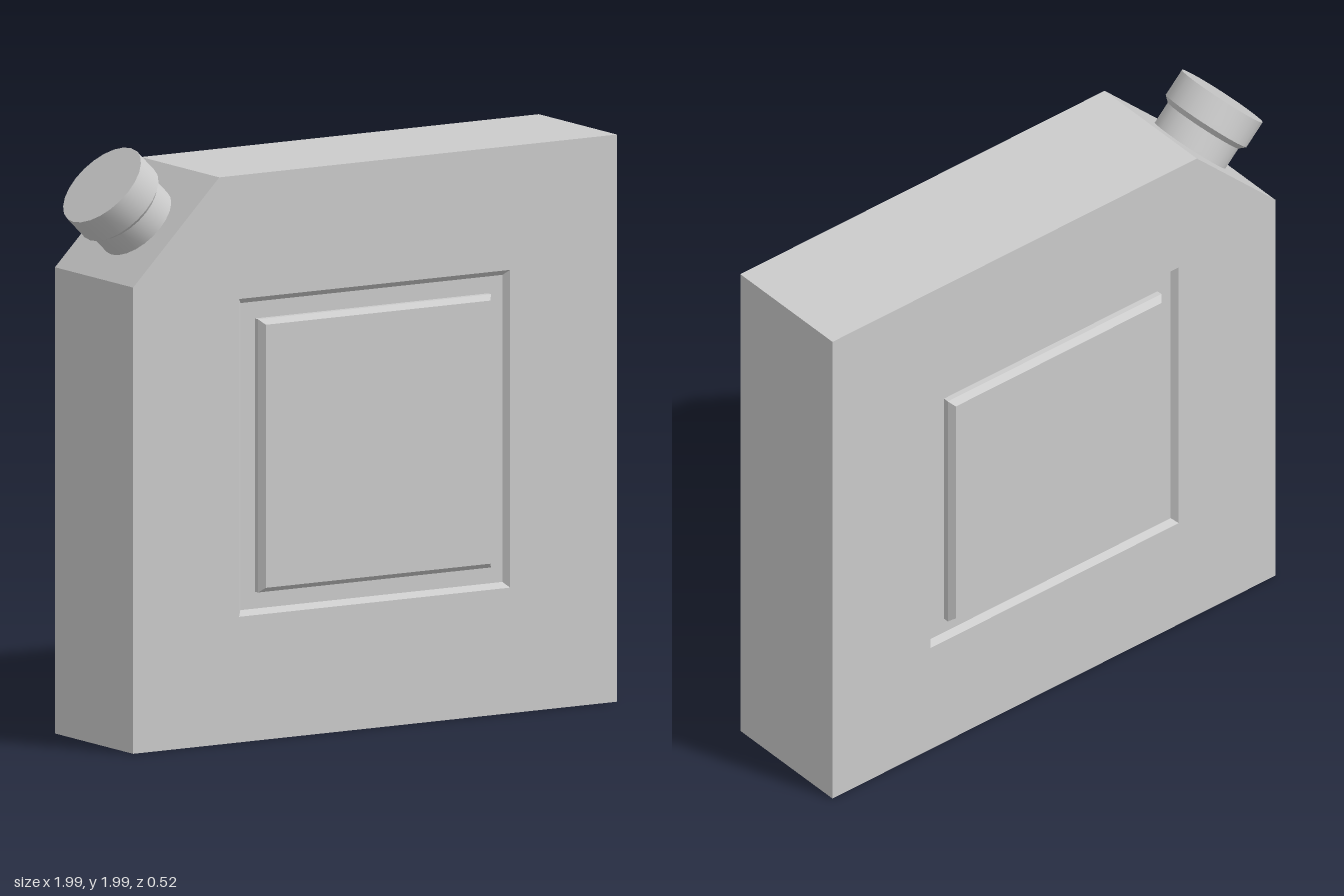
import * as THREE from 'three';
import { toCreasedNormals } from 'three/addons/utils/BufferGeometryUtils.js';

const material = new THREE.MeshStandardMaterial({ color: 0xcccccc });
const HALF_DEPTH = 0.24;
const PANEL = { x: 0.043, y: 0.958, half: 0.535 };

function addMesh(parent, name, geometry) {
  const mesh = new THREE.Mesh(toCreasedNormals(geometry, 0.5), material);
  mesh.name = name;
  parent.add(mesh);
  return mesh;
}

const points = (list) => list.map(([x, y]) => new THREE.Vector2(x, y));

// Slab with one cut corner and a square opening that the panels fill
function bodyGeometry() {
  const shape = new THREE.Shape(points([
    [-0.91, 0], [1, 0], [1, 1.91], [-0.57, 1.91], [-0.91, 1.57],
  ]));
  const { x, y, half: h } = PANEL;
  shape.holes.push(new THREE.Path(points([
    [x - h, y - h], [x - h, y + h], [x + h, y + h], [x + h, y - h],
  ])));
  return new THREE.ExtrudeGeometry(shape, { depth: 2 * HALF_DEPTH, bevelEnabled: false })
    .translate(0, 0, -HALF_DEPTH);
}

// Square recess with a bevelled raised field: a four-sided lathe of [half width, height]
function panelGeometry() {
  const profile = [
    [PANEL.half, 0.24], [0.517, 0.22], [0.46, 0.22], [0.46, 0.24], [0.443, 0.261], [0, 0.261],
  ].map(([w, z]) => [w * Math.SQRT2, z]);
  return new THREE.LatheGeometry(points(profile), 4, Math.PI / 4).rotateX(Math.PI / 2);
}

export function createModel() {
  const group = new THREE.Group();
  group.name = 'canister';

  addMesh(group, 'body', bodyGeometry());

  // Matching panels on both faces
  for (const [name, turn] of [['frontPanel', 0], ['backPanel', Math.PI]]) {
    const panel = addMesh(group, name, panelGeometry());
    panel.position.set(PANEL.x, PANEL.y, 0);
    panel.rotation.y = turn;
  }

  // Spout on the cut corner, tilted outwards
  const spout = new THREE.Group();
  spout.name = 'spout';
  spout.position.set(-0.74, 1.74, 0);
  spout.rotation.z = Math.PI / 4;
  group.add(spout);
  addMesh(spout, 'neck', new THREE.LatheGeometry(points([[0.141, -0.01], [0.141, 0.085]]), 24));
  addMesh(spout, 'cap', new THREE.LatheGeometry(points([
    [0.141, 0.08], [0.161, 0.098], [0.161, 0.196], [0, 0.196],
  ]), 24));

  return group;
}
